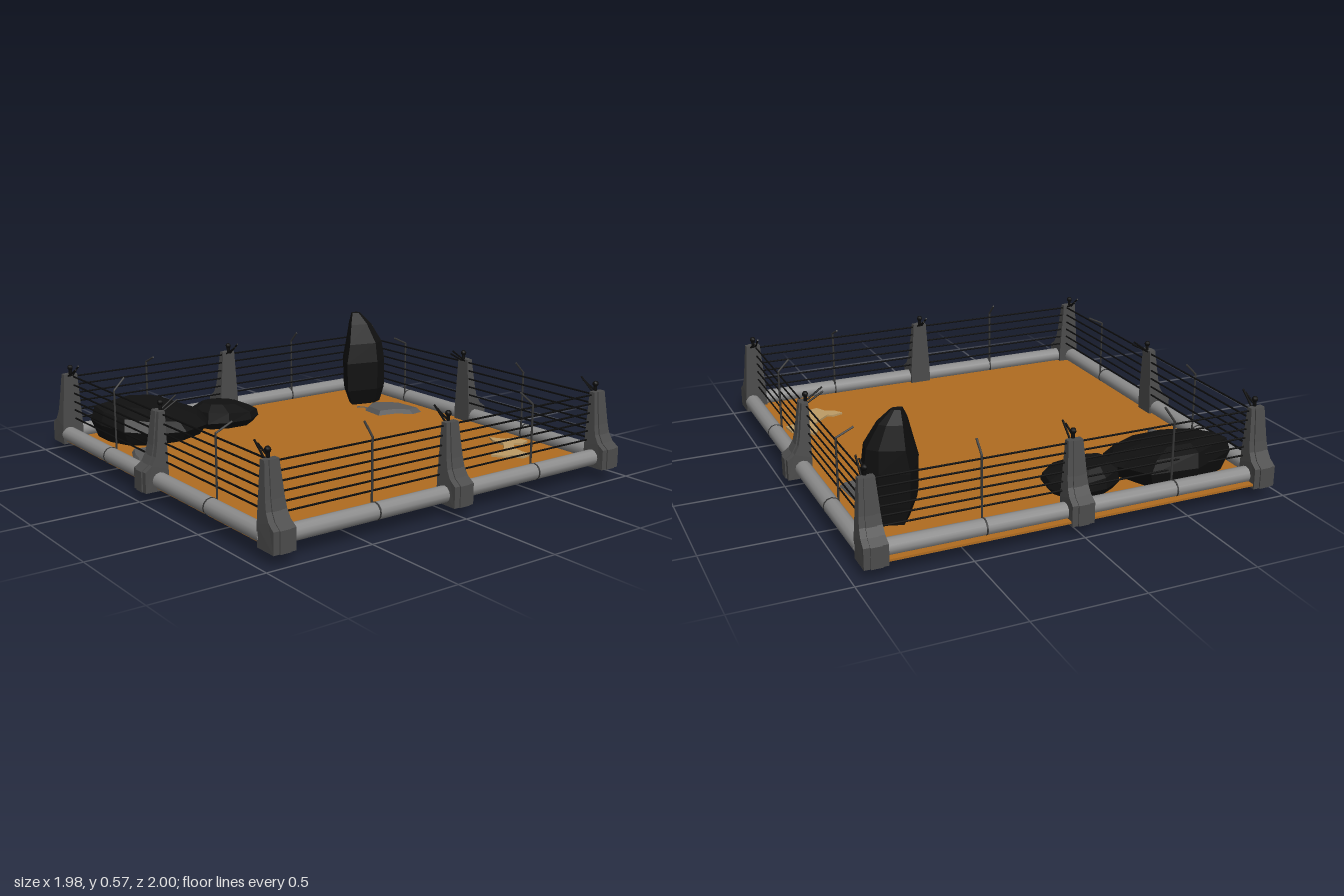
import * as THREE from 'three';

const mat = (name, color) => Object.assign(new THREE.MeshStandardMaterial({ color }), { name });

export function createModel() {
  const sand = mat('sand', 0xb06c20), concrete = mat('concrete', 0x8c8c8c), postGrey = mat('postGrey', 0x4c4c4c),
    wireBlack = mat('wireBlack', 0x0c0c0c), rockBlack = mat('rockBlack', 0x101010),
    stoneGrey = mat('stoneGrey', 0x5a5a5a), boneTan = mat('boneTan', 0xbd9c66), stakeGrey = mat('stakeGrey', 0x383838);

  const model = new THREE.Group();
  model.name = 'fencedPen';
  const add = (parent, name, geo, material, x = 0, y = 0, z = 0) => {
    const m = new THREE.Mesh(geo, material);
    m.name = name;
    m.position.set(x, y, z);
    parent.add(m);
    return m;
  };
  // Straight rod between two points
  const rod = (parent, name, a, b, r, material, sides = 6) => {
    const p = new THREE.Vector3(...a), q = new THREE.Vector3(...b);
    const m = add(parent, name, new THREE.CylinderGeometry(r, r, p.distanceTo(q), sides), material);
    m.position.copy(p).add(q).multiplyScalar(0.5);
    m.quaternion.setFromUnitVectors(new THREE.Vector3(0, 1, 0), q.sub(p).normalize());
    return m;
  };

  // Ground slab
  add(model, 'ground', new THREE.BoxGeometry(1.885, 0.01, 1.84), sand, -0.033, 0.08, 0.02);

  // Buttress profile: x is outward, y is up; the width tapers above the foot
  const buttress = (footWidth, topWidth, grow) => {
    const pts = [[0, 0.062], [0.12 + grow, 0.062], [0.12 + grow, 0.155], [0.085 + grow, 0.18],
      [0.065 + grow, 0.215], [0.055 + grow, 0.26], [0.036 + grow, 0.41], [0, 0.41], [0, 0.155]];
    const shape = new THREE.Shape(pts.map(p => new THREE.Vector2(...p)));
    const geo = new THREE.ExtrudeGeometry(shape, { depth: 1, bevelEnabled: false });
    geo.translate(0, 0, -0.5);
    const pos = geo.attributes.position;
    for (let i = 0; i < pos.count; i++) {
      const t = Math.max(0, (pos.getY(i) - 0.155) / 0.255);
      pos.setZ(i, pos.getZ(i) * (footWidth + (topWidth - footWidth) * t));
    }
    geo.rotateY(-Math.PI / 2);
    geo.computeVertexNormals();
    return geo;
  };
  const bodyGeo = buttress(0.105, 0.068, -0.006), ribGeo = buttress(0.05, 0.03, 0);

  // Post with its inner face at z = 0, facing outward along +z
  const makePost = () => {
    const g = new THREE.Group();
    g.name = 'post';
    add(g, 'postBody', bodyGeo, postGrey);
    add(g, 'postRib', ribGeo, postGrey);
    rod(g, 'capPin', [0, 0.4, 0.003], [0, 0.44, 0.003], 0.008, wireBlack);
    add(g, 'insulator', new THREE.SphereGeometry(0.014, 8, 6), wireBlack, 0, 0.442, 0.003);
    for (const [x, y] of [[-0.012, 0.462], [0.012, 0.445]])
      rod(g, 'arm', [x, 0.4, 0.005], [x * 0.6, y, -0.078], 0.0045, wireBlack);
    return g;
  };

  // Four fence sides, each built facing +z and turned into place
  for (let s = 0; s < 4; s++) {
    const side = new THREE.Group();
    side.name = 'fenceSide';
    side.rotation.y = s * Math.PI / 2;
    model.add(side);
    const shift = s % 2 ? -0.008 : 0;

    const rail = add(side, 'rail', new THREE.CylinderGeometry(0.037, 0.037, 1.75, 12), concrete, 0, 0.11, 0.923 + shift);
    rail.rotation.z = Math.PI / 2;
    for (let i = 0; i < 6; i++)
      rod(side, 'wire', [-0.885, 0.185 + i * 0.042, 0.888 + shift], [0.885, 0.185 + i * 0.042, 0.888 + shift], 0.0042, wireBlack);

    const post = makePost();
    post.position.z = 0.88 + shift * 1.5;
    side.add(post);

    // Bent stakes with a clamp around the rail
    for (const [x, tipY, tipZ] of [[-0.42, 0.468, 0.84], [0.477, 0.45, 0.815]]) {
      rod(side, 'stake', [x, 0.1, 0.893], [x, 0.415, 0.893], 0.005, stakeGrey);
      rod(side, 'stakeTip', [x, 0.413, 0.894], [x, tipY, tipZ], 0.005, stakeGrey);
      const clamp = add(side, 'clamp', new THREE.CylinderGeometry(0.039, 0.039, 0.007, 12), stakeGrey, x, 0.11, 0.923 + shift);
      clamp.rotation.z = Math.PI / 2;
    }
  }

  // Corner posts face left and right
  for (const sx of [-1, 1]) for (const sz of [-1, 1]) {
    const post = makePost();
    post.rotation.y = sx * Math.PI / 2;
    post.position.set(sx * 0.868, 0, sz * 0.903);
    model.add(post);
  }

  // Faceted rock: a plan outline stacked at levels of [y, scale, dx, dz, tilt share]
  const rock = (name, material, [cx, cz], outline, levels, tx = 0, tz = 0) => {
    const n = outline.length, v = [], idx = [];
    const put = (x, z, [y, k, dx, dz, t = 0]) =>
      v.push(cx + x * k + dx, y + t * (x * k * tx + z * k * tz), cz + z * k + dz);
    for (const lv of levels) for (const [x, z] of outline) put(x - cx, z - cz, lv);
    put(0, 0, levels[0]);
    put(0, 0, levels.at(-1));
    const bottom = n * levels.length, top = bottom + 1, last = bottom - n;
    for (let i = 0; i < n; i++) {
      const j = (i + 1) % n;
      for (let k = 0; k < levels.length - 1; k++) {
        const a = k * n + i, b = k * n + j;
        idx.push(a, a + n, b, b, a + n, b + n);
      }
      idx.push(bottom, i, j, top, last + j, last + i);
    }
    let geo = new THREE.BufferGeometry();
    geo.setAttribute('position', new THREE.Float32BufferAttribute(v, 3));
    geo.setIndex(idx);
    geo = geo.toNonIndexed();
    geo.computeVertexNormals();
    return add(model, name, geo, material);
  };

  rock('tallRock', rockBlack, [-0.645, -0.7],
    [[-0.75, -0.67], [-0.705, -0.79], [-0.655, -0.835], [-0.57, -0.82], [-0.53, -0.74], [-0.57, -0.565], [-0.65, -0.6]],
    [[0.012, 0.3, 0, -0.02], [0.05, 0.65, 0, -0.02], [0.17, 0.97, 0.005, 0], [0.32, 1, 0, 0],
      [0.42, 0.85, -0.005, -0.01], [0.52, 0.52, -0.015, 0], [0.578, 0.2, -0.025, 0.01]]);

  rock('largeRock', rockBlack, [-0.69, 0.57],
    [[-0.915, 0.6], [-0.87, 0.39], [-0.73, 0.33], [-0.63, 0.28], [-0.52, 0.35], [-0.455, 0.5],
      [-0.475, 0.66], [-0.56, 0.78], [-0.7, 0.835], [-0.81, 0.835]],
    [[0.062, 0.5, 0, 0.04], [0.095, 0.88, 0, 0], [0.165, 1, 0, 0, 0.6], [0.222, 0.88, -0.01, 0.01, 1], [0.255, 0.5, -0.03, 0.02, 1]],
    -0.12, 0.07);

  rock('smallRock', rockBlack, [-0.69, 0.15],
    [[-0.825, 0.1], [-0.79, 0.01], [-0.71, -0.03], [-0.61, -0.015], [-0.545, 0.07], [-0.548, 0.2],
      [-0.59, 0.3], [-0.68, 0.335], [-0.77, 0.29], [-0.82, 0.2]],
    [[0.07, 0.75, 0, 0], [0.12, 1, 0, 0], [0.165, 0.95, 0, 0, 1], [0.2, 0.55, 0, 0.02, 1]], 0, 0.08);

  rock('backStone', stoneGrey, [-0.375, -0.7],
    [[-0.51, -0.71], [-0.42, -0.805], [-0.25, -0.82], [-0.238, -0.75], [-0.3, -0.69], [-0.32, -0.585], [-0.45, -0.595], [-0.5, -0.66]],
    [[0.07, 0.8, 0, 0], [0.085, 1, 0, 0], [0.108, 0.85, 0, 0]]);
  rock('frontStone', stoneGrey, [-0.375, 0.75],
    [[-0.47, 0.7], [-0.38, 0.655], [-0.31, 0.685], [-0.3, 0.72], [-0.245, 0.755], [-0.31, 0.785], [-0.295, 0.85], [-0.38, 0.83], [-0.48, 0.785]],
    [[0.07, 0.8, 0, 0], [0.085, 1, 0, 0], [0.105, 0.85, 0, 0]]);

  // Root of the back stone, poking out under the ground
  rock('stoneRoot', stoneGrey, [-0.5, -0.615],
    [[-0.55, -0.62], [-0.5, -0.65], [-0.455, -0.61], [-0.5, -0.575]],
    [[0.012, 0.05, -0.03, 0], [0.085, 1, 0, 0]]);

  // Bone lying flat through the ground
  const bone = new THREE.Shape([[0.354, -0.746], [0.413, -0.778], [0.434, -0.841], [0.508, -0.851], [0.524, -0.804],
    [0.503, -0.762], [0.561, -0.709], [0.624, -0.698], [0.675, -0.7], [0.69, -0.64], [0.64, -0.614], [0.622, -0.571],
    [0.577, -0.54], [0.561, -0.593], [0.577, -0.619], [0.519, -0.682], [0.476, -0.72], [0.402, -0.72]]
    .map(([x, z]) => new THREE.Vector2(x, -z)));
  const boneGeo = new THREE.ExtrudeGeometry(bone, { depth: 0.024, bevelEnabled: false });
  boneGeo.rotateX(-Math.PI / 2);
  add(model, 'bone', boneGeo, boneTan, 0, 0.071, 0);

  return model;
}
